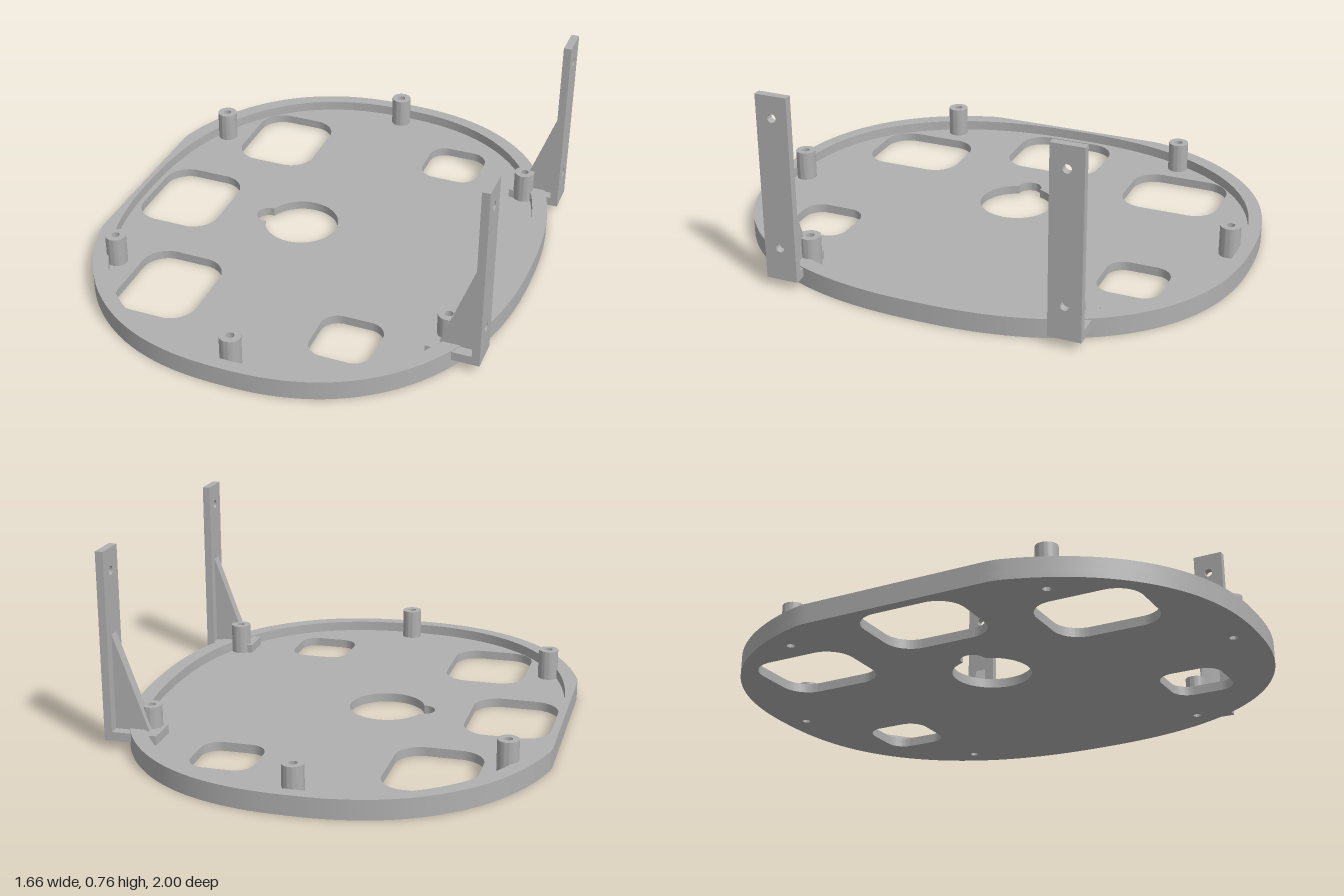
import * as THREE from 'three';
import { toCreasedNormals } from 'three/addons/utils/BufferGeometryUtils.js';

const FLOOR = 0.035, RIM_TOP = 0.075, POST_TOP = 0.155, HOLE_R = 0.016;
const CX = -0.02; // centre of the oval and the post pattern

export function createModel() {
  const grey = new THREE.MeshStandardMaterial({ color: 0xb0b0b0 });
  grey.name = 'grey plastic';
  const model = new THREE.Group();
  model.name = 'mountingPlate';

  function add(parent, name, geometry) {
    const mesh = new THREE.Mesh(toCreasedNormals(geometry, 0.5), grey);
    mesh.name = name;
    parent.add(mesh);
    return mesh;
  }

  // Shapes are drawn in plan as (x, -z) and raised from y0 to y1
  function slab(shape, y0, y1) {
    const g = new THREE.ExtrudeGeometry(shape, { depth: y1 - y0, bevelEnabled: false, curveSegments: 20 });
    return g.rotateX(-Math.PI / 2).translate(0, y0, 0);
  }

  function circle(x, y, r, Type = THREE.Path) {
    return new Type().absarc(x, y, r, 0, Math.PI * 2, false);
  }

  // Full-sided oval, trimmed straight on the right-hand edge
  function oval(a, b) {
    const n = 2.32, points = [];
    const power = (v) => Math.sign(v) * Math.abs(v) ** (2 / n);
    for (let i = 0; i < 180; i++) {
      const t = (i / 180) * Math.PI * 2;
      points.push(new THREE.Vector2(Math.max(CX + a * power(Math.cos(t)), -0.83), b * power(Math.sin(t))));
    }
    return points;
  }

  function roundedWindow(x, y, w, h, r) {
    const x0 = x - w / 2, x1 = x + w / 2, y0 = y - h / 2, y1 = y + h / 2;
    const p = new THREE.Path();
    p.absarc(x1 - r, y1 - r, r, 0, Math.PI / 2, false);
    p.absarc(x0 + r, y1 - r, r, Math.PI / 2, Math.PI, false);
    p.absarc(x0 + r, y0 + r, r, Math.PI, Math.PI * 1.5, false);
    p.absarc(x1 - r, y0 + r, r, Math.PI * 1.5, Math.PI * 2, false);
    p.closePath();
    return p;
  }

  const posts = [[CX, 0.91], [CX, -0.91]];
  for (const s of [1, -1]) posts.push([-0.69, s * 0.51], [0.655, s * 0.51]);

  // Base plate with windows, keyed centre hole and screw holes
  const plate = new THREE.Shape(oval(0.85, 1));
  plate.holes.push(roundedWindow(-0.622, 0, 0.333, 0.4, 0.1));
  for (const s of [1, -1]) {
    plate.holes.push(roundedWindow(-0.435, s * 0.573, 0.328, 0.396, 0.1));
    plate.holes.push(roundedWindow(0.313, s * 0.64, 0.243, 0.245, 0.07));
  }
  const keyhole = new THREE.Path();
  keyhole.absarc(-0.127, 0, 0.148, -Math.PI + 0.32, Math.PI - 0.32, false);
  keyhole.absarc(-0.272, 0, 0.047, 1.47, Math.PI * 2 - 1.47, false);
  keyhole.closePath();
  plate.holes.push(keyhole);
  for (const [x, z] of posts) plate.holes.push(circle(x, -z, HOLE_R));
  add(model, 'basePlate', slab(plate, 0, FLOOR));

  // Raised rim
  const rim = new THREE.Shape(oval(0.85, 1));
  rim.holes.push(new THREE.Path(oval(0.79, 0.95)));
  add(model, 'rim', slab(rim, FLOOR, RIM_TOP));

  // Hollow screw posts
  for (const [x, z] of posts) {
    const ring = circle(0, 0, 0.04, THREE.Shape);
    ring.holes.push(circle(0, 0, HOLE_R));
    add(model, 'screwPost', slab(ring, FLOOR, POST_TOP)).position.set(x, 0, z);
  }

  // Upright brackets on the left side
  for (const s of [1, -1]) {
    const bracket = new THREE.Group();
    bracket.name = s > 0 ? 'frontBracket' : 'backBracket';
    bracket.position.z = s * 0.55;
    model.add(bracket);

    // Foot, pierced by the neighbouring screw hole
    const foot = new THREE.Shape([[0.6, -0.062], [0.79, -0.062], [0.79, 0.062], [0.6, 0.062]]
      .map(([x, y]) => new THREE.Vector2(x, y)));
    foot.holes.push(circle(0.655, s * 0.04, HOLE_R));
    add(bracket, 'bracketFoot', slab(foot, FLOOR, 0.07));

    // Upright strip with two bolt holes, drawn as (-z, y)
    const strip = new THREE.Shape([[-0.062, FLOOR], [0.062, FLOOR], [0.062, 0.76], [-0.062, 0.76]]
      .map(([x, y]) => new THREE.Vector2(x, y)));
    for (const y of [0.165, 0.675]) strip.holes.push(circle(0, y, 0.017));
    const stripGeometry = new THREE.ExtrudeGeometry(strip, { depth: 0.03, bevelEnabled: false });
    add(bracket, 'bracketUpright', stripGeometry.rotateY(Math.PI / 2).translate(0.775, 0, 0));

    // Triangular gusset
    const web = new THREE.Shape([[0.64, 0.065], [0.776, 0.065], [0.776, 0.44]]
      .map(([x, y]) => new THREE.Vector2(x, y)));
    const webGeometry = new THREE.ExtrudeGeometry(web, { depth: 0.044, bevelEnabled: false });
    add(bracket, 'bracketGusset', webGeometry.translate(0, 0, -0.022));
  }
  return model;
}
